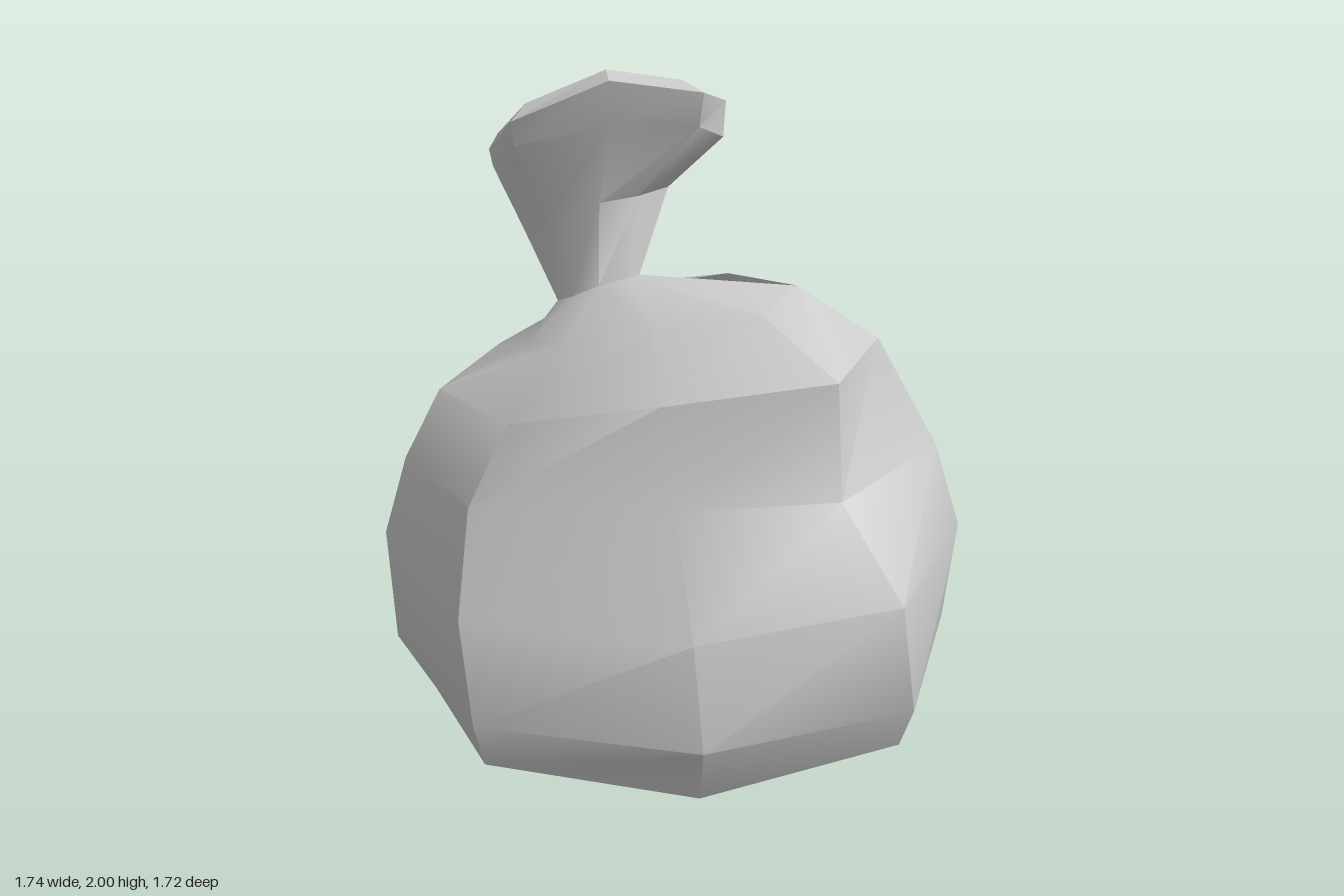
import * as THREE from 'three';
import { toCreasedNormals } from 'three/addons/utils/BufferGeometryUtils.js';

// Each ring runs front, front-left, left, back-left, back, back-right, right, front-right.
const bodyRings = [
  [[0, .14, .78], [.6, .2, .65], [.74, .14, .08], [.6, .2, -.48], [0, .14, -.66], [-.6, .2, -.48], [-.74, .14, .06], [-.6, .2, .63]],
  [[0, .33, .86], [.63, .33, .69], [.85, .33, .1], [.63, .33, -.48], [0, .33, -.73], [-.63, .33, -.52], [-.85, .33, .06], [-.63, .33, .64]],
  [[-.02, .63, .79], [.59, .66, .68], [.87, .67, .16], [.62, .66, -.41], [0, .67, -.71], [-.63, .65, -.56], [-.87, .67, .03], [-.66, .62, .55]],
  [[-.05, .94, .58], [.43, .93, .54], [.78, .95, .19], [.56, .95, -.33], [0, .95, -.59], [-.59, .92, -.5], [-.8, .9, 0], [-.62, .9, .4]],
  [[-.08, 1.22, .49], [.42, 1.27, .49], [.6, 1.28, .15], [.43, 1.27, -.26], [-.05, 1.16, -.5], [-.5, 1.11, -.4], [-.69, 1.1, -.04], [-.5, 1.12, .32]],
  [[-.08, 1.37, .26], [.23, 1.41, .29], [.37, 1.42, .06], [.18, 1.43, -.05], [-.12, 1.3, -.35], [-.36, 1.22, -.31], [-.42, 1.21, -.1], [-.33, 1.27, .1]],
];
const neckRing = [[-.2, 1.37, -.15], [-.11, 1.39, -.16], [-.07, 1.38, -.22], [-.12, 1.33, -.29], [-.2, 1.29, -.33], [-.28, 1.29, -.3], [-.32, 1.3, -.24], [-.28, 1.33, -.18]];
const flareRings = [
  [[-.19, 1.61, -.22], [-.07, 1.62, -.25], [.04, 1.6, -.42], [-.03, 1.47, -.47], [-.17, 1.41, -.52], [-.3, 1.43, -.47], [-.41, 1.48, -.39], [-.34, 1.55, -.28]],
  [[-.16, 1.86, -.17], [.11, 1.84, -.2], [.22, 1.74, -.48], [.1, 1.6, -.68], [-.15, 1.53, -.75], [-.4, 1.55, -.68], [-.5, 1.66, -.5], [-.44, 1.78, -.26]],
  [[-.16, 1.99, -.18], [.12, 1.95, -.17], [.23, 1.85, -.5], [.12, 1.72, -.77], [-.16, 1.64, -.86], [-.44, 1.63, -.77], [-.51, 1.7, -.56], [-.45, 1.86, -.24]],
];
const mouthRing = [[-.16, 2, -.29], [.07, 1.96, -.31], [.12, 1.86, -.55], [.07, 1.73, -.75], [-.15, 1.66, -.84], [-.42, 1.66, -.74], [-.48, 1.74, -.6], [-.4, 1.9, -.31]];

// Skins a stack of rings, optionally closing either end to a point.
function loft(rings, startTip, endTip) {
  const n = rings[0].length, index = [];
  const points = rings.flat();
  for (let r = 0; r < rings.length - 1; r++) {
    for (let i = 0; i < n; i++) {
      const a = r * n + i, b = r * n + (i + 1) % n;
      index.push(a, b, b + n, a, b + n, a + n);
    }
  }
  if (startTip) {
    const tip = points.push(startTip) - 1;
    for (let i = 0; i < n; i++) index.push(tip, (i + 1) % n, i);
  }
  if (endTip) {
    const tip = points.push(endTip) - 1, o = (rings.length - 1) * n;
    for (let i = 0; i < n; i++) index.push(o + i, o + (i + 1) % n, tip);
  }
  const g = new THREE.BufferGeometry();
  g.setAttribute('position', new THREE.Float32BufferAttribute(points.flat(), 3));
  g.setIndex(index);
  return toCreasedNormals(g, 0.56);
}

export function createModel() {
  const group = new THREE.Group();
  group.name = 'tiedSack';
  const material = new THREE.MeshStandardMaterial({ color: 0xcccccc, side: THREE.DoubleSide });
  const add = (name, geometry) => {
    const mesh = new THREE.Mesh(geometry, material);
    mesh.name = name;
    group.add(mesh);
  };
  // Slumped body, gathered into the neck
  add('sackBody', loft([...bodyRings, neckRing], [0, 0, .04]));
  // Flared top above the tie, with a rim and a sunken mouth
  add('sackTop', loft([neckRing, ...flareRings, mouthRing], null, [-.18, 1.66, -.43]));
  return group;
}
